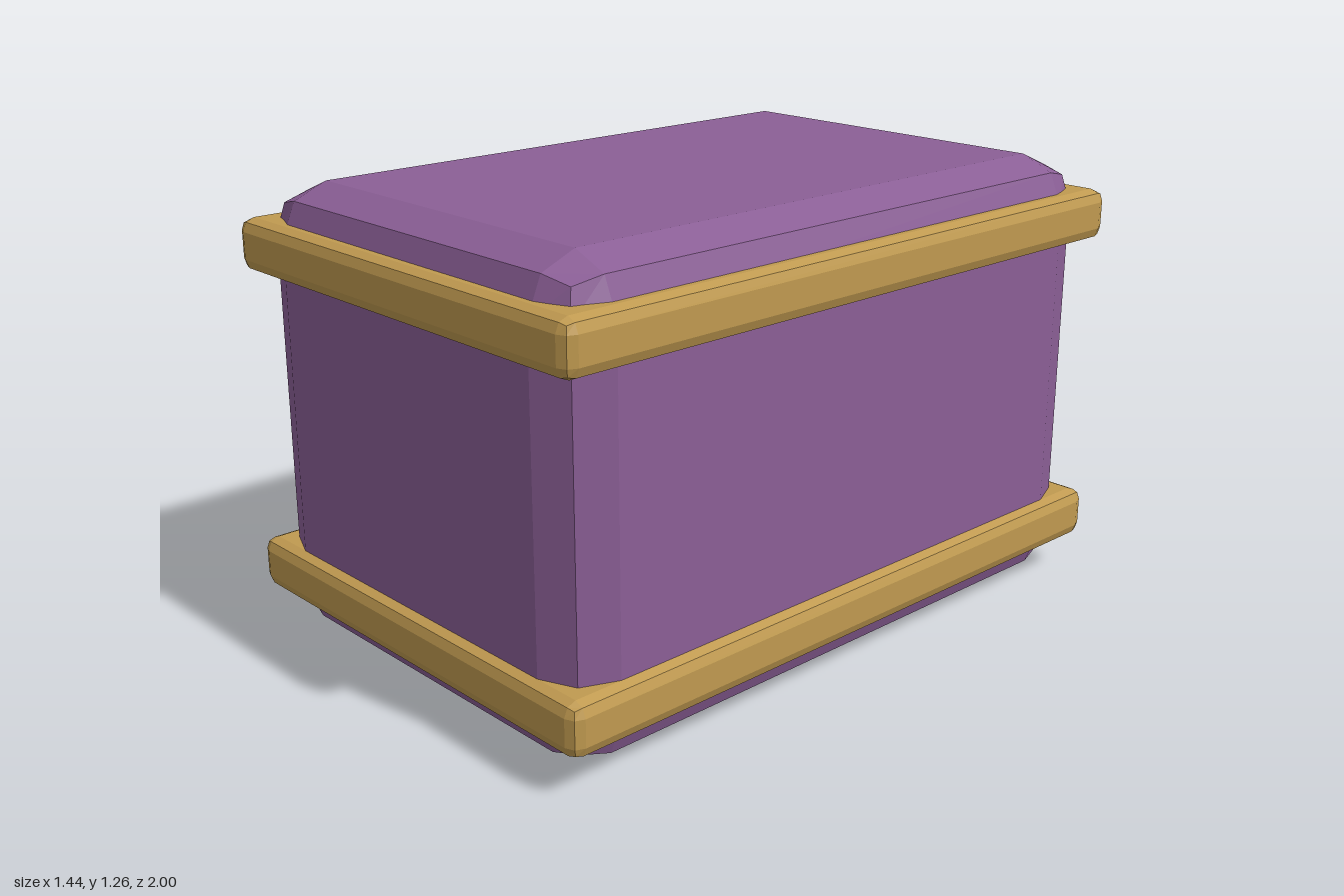
import * as THREE from 'three';
import { RoundedBoxGeometry } from 'three/addons/geometries/RoundedBoxGeometry.js';

const purple = new THREE.MeshStandardMaterial({ color: 0x8b5f96, flatShading: true });
const gold = new THREE.MeshStandardMaterial({ color: 0xc09a50, flatShading: true });

function addPart(group, name, geometry, material, x, y, z) {
  const mesh = new THREE.Mesh(geometry, material);
  mesh.name = name;
  mesh.position.set(x, y, z);
  group.add(mesh);
}

export function createModel() {
  const group = new THREE.Group();
  group.name = 'bandedBox';
  const boxX = 0.035;

  // Chest body with two-step bevels
  addPart(group, 'body', new RoundedBoxGeometry(1.3, 1.265, 1.93, 1, 0.14), purple, boxX, 0.6325, 0);

  // Metal bands around the bottom and the top
  for (const [name, y] of [['lowerBand', 0.178], ['upperBand', 1.093]]) {
    addPart(group, name, new RoundedBoxGeometry(1.37, 0.145, 2, 1, 0.035), gold, boxX, y, 0);
  }

  // Faceted, flattened medallion on the right side
  const medallion = new THREE.IcosahedronGeometry(1, 1);
  medallion.rotateZ(Math.PI / 2);
  medallion.scale(0.075, 0.333, 0.333);
  addPart(group, 'medallion', medallion, gold, -0.648, 0.652, 0);

  return group;
}
